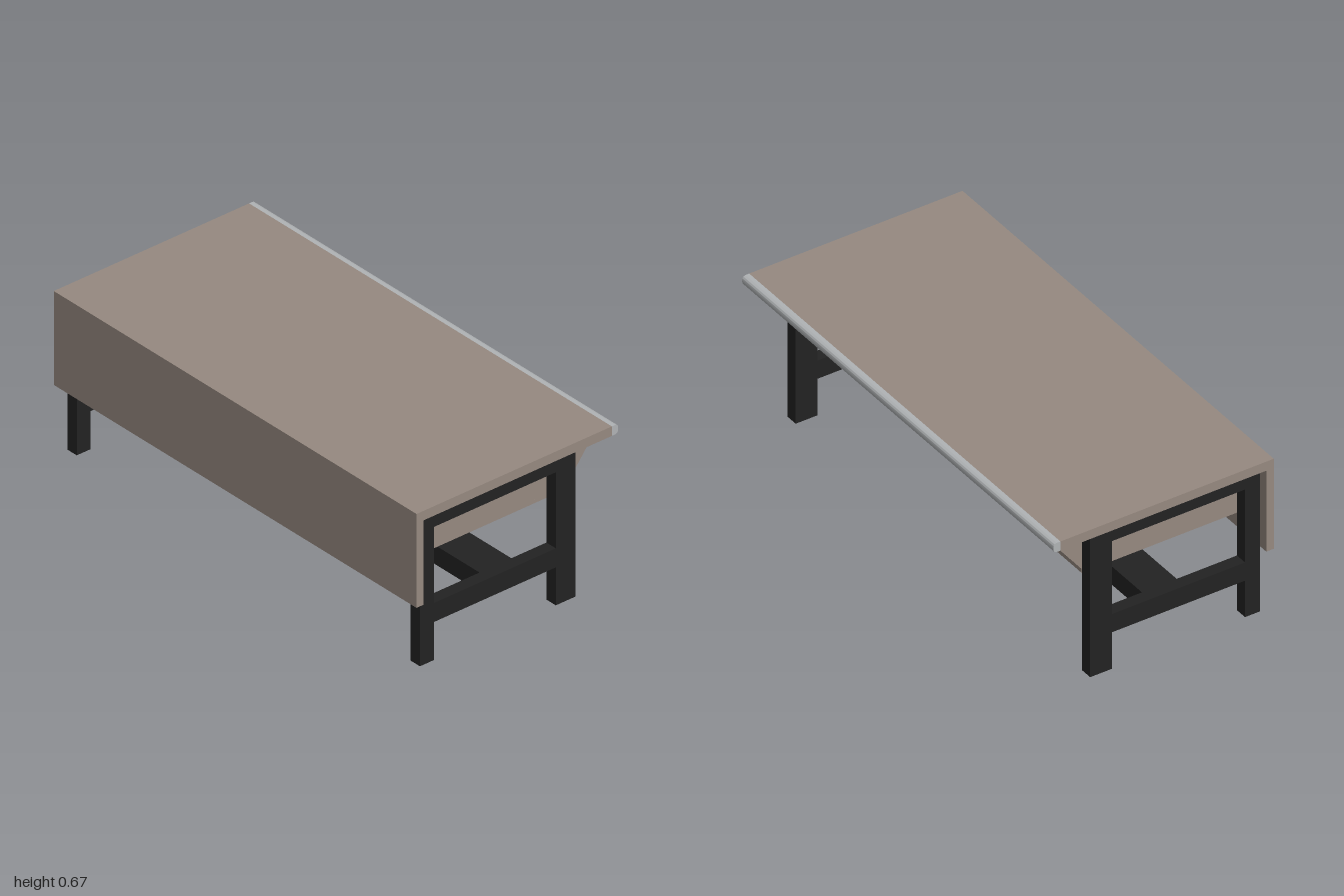
import * as THREE from 'three';
import { toCreasedNormals } from 'three/addons/utils/BufferGeometryUtils.js';

const mat = (name, color) => {
  const m = new THREE.MeshStandardMaterial({ color });
  m.name = name;
  return m;
};

export function createModel() {
  const group = new THREE.Group();
  group.name = 'desk';
  const panel = mat('taupe panel', 0x968980);
  const black = mat('black frame', 0x222222);
  const metal = mat('grey metal', 0xb0b3b5);

  const add = (name, geometry, material, parent = group) => {
    const mesh = new THREE.Mesh(geometry, material);
    mesh.name = name;
    parent.add(mesh);
    return mesh;
  };
  // Box given by its limits on each axis
  const box = (name, x0, x1, y0, y1, z0, z1, material, parent) => {
    const g = new THREE.BoxGeometry(x1 - x0, y1 - y0, z1 - z0);
    g.translate((x0 + x1) / 2, (y0 + y1) / 2, (z0 + z1) / 2);
    return add(name, g, material, parent);
  };
  // Profile in x and y, extruded between two z values
  const prism = (shape, z0, z1) => {
    const g = new THREE.ExtrudeGeometry(shape, { depth: z1 - z0, bevelEnabled: false, curveSegments: 6 });
    return g.translate(0, 0, z0);
  };
  const polygon = (pts) => new THREE.Shape(pts.map(([x, y]) => new THREE.Vector2(x, y)));

  // Worktop folding down into the back panel
  add('worktopAndBack', prism(polygon([
    [-0.475, 0.275], [-0.443, 0.275], [-0.443, 0.63], [0.445, 0.63], [0.445, 0.67], [-0.475, 0.67],
  ]), -1, 1), panel);

  // Rounded metal edge along the worktop
  const r = 0.015;
  const edge = new THREE.Shape();
  edge.moveTo(0.445, 0.63);
  edge.lineTo(0.475 - r, 0.63);
  edge.absarc(0.475 - r, 0.63 + r, r, -Math.PI / 2, 0, false);
  edge.lineTo(0.475, 0.67 - r);
  edge.absarc(0.475 - r, 0.67 - r, r, 0, Math.PI / 2, false);
  edge.lineTo(0.445, 0.67);
  add('edgeBar', toCreasedNormals(prism(edge, -1, 1), 0.6), metal);

  // Open storage tray under the worktop
  box('trayFloor', -0.443, 0.3, 0.428, 0.445, -0.92, 0.92, panel);
  const side = polygon([[-0.443, 0.445], [0.3, 0.445], [0.445, 0.63], [-0.443, 0.63]]);
  for (const s of [-1, 1]) {
    const z = s * 0.903;
    add('traySide', prism(side, z - 0.017, z + 0.017), panel);
  }
  // Middle divider, thinner towards the bottom
  const divider = prism(side, -1, 1);
  const p = divider.attributes.position;
  for (let i = 0; i < p.count; i++) {
    p.setZ(i, p.getZ(i) * THREE.MathUtils.mapLinear(p.getY(i), 0.445, 0.63, 0.011, 0.025));
  }
  divider.computeVertexNormals();
  add('trayDivider', divider, panel);

  // End frames: two legs joined by two rails
  for (const s of [-1, 1]) {
    const frame = new THREE.Group();
    frame.name = 'endFrame';
    group.add(frame);
    const z0 = s > 0 ? 0.92 : -0.972;
    const z1 = z0 + 0.052;
    box('backLeg', -0.435, -0.37, 0, 0.63, z0, z1, black, frame);
    box('frontLeg', 0.205, 0.298, 0, 0.63, z0, z1, black, frame);
    box('topRail', -0.37, 0.205, 0.56, 0.63, z0, z1, black, frame);
    box('lowerRail', -0.37, 0.205, 0.16, 0.24, z0, z1, black, frame);
  }
  // Long stretcher between the end frames
  box('stretcher', -0.11, 0.04, 0.16, 0.24, -0.92, 0.92, black);

  return group;
}
